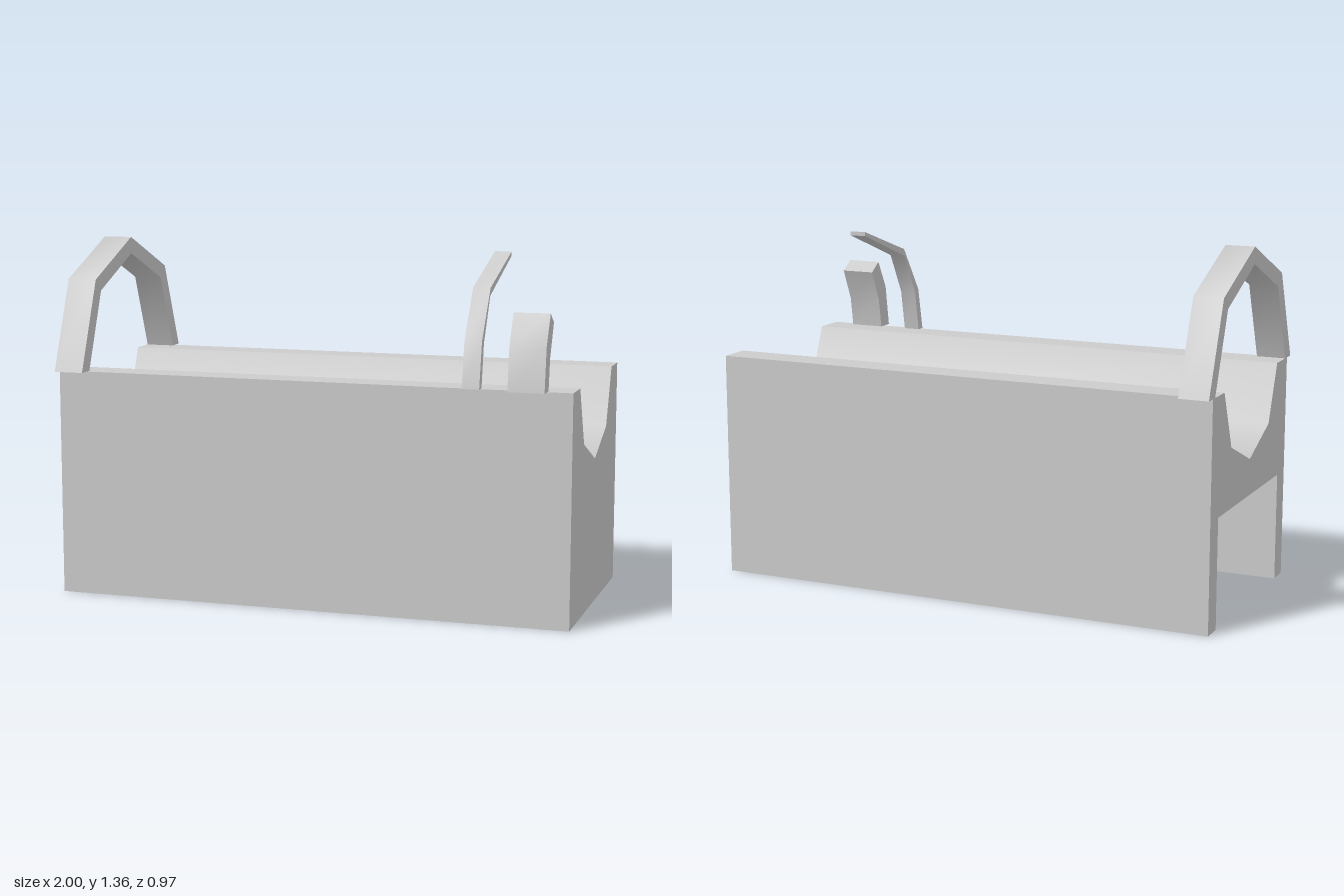
import * as THREE from 'three';
import { toCreasedNormals } from 'three/addons/utils/BufferGeometryUtils.js';

const material = new THREE.MeshStandardMaterial({ color: 0xcccccc });

// Extrudes a [z, y] outline along x from x0 to x1, smoothing only the shallow bends
function section(name, outline, x0, x1) {
  const shape = new THREE.Shape(outline.map(([z, y]) => new THREE.Vector2(-z, y)));
  const flat = new THREE.ExtrudeGeometry(shape, { depth: x1 - x0, bevelEnabled: false });
  flat.rotateY(Math.PI / 2).translate(x0, 0, 0);
  const mesh = new THREE.Mesh(toCreasedNormals(flat, 0.9), material);
  mesh.name = name;
  return mesh;
}

// Completes a half profile that starts at +z, adding its mirror image at -z
function mirrored(half) {
  const other = half.filter(([z]) => z > 0).map(([z, y]) => [-z, y]).reverse();
  return [...half, ...other];
}

// Closed outline of a strip from its outer and inner lines
const strip = (outer, inner) => [...outer, ...inner.slice().reverse()];

export function createModel() {
  const group = new THREE.Group();
  group.name = 'troughStand';

  // Body: long trough on two side walls, hollow underneath
  const trough = mirrored([[0.314, 0.87], [0.222, 0.65], [0, 0.56]]);
  const underside = mirrored([[0.44, 0], [0.355, 0], [0.355, 0.42]]);
  // underside runs from the +z foot to the -z foot, the trough closes it back
  group.add(section('body', [...underside, [-0.44, 0.87], ...trough.slice().reverse(), [0.44, 0.87]], -1, 1));

  // Wall closing one end of the hollow
  group.add(section('endWall', [[0.355, 0], [0.355, 0.42], [-0.355, 0.42], [-0.355, 0]], 0.91, 1));

  // Full hoop over the open end
  group.add(section('hoop', strip(
    mirrored([[0.484, 0.87], [0.343, 1.214], [0, 1.355]]),
    mirrored([[0.417, 0.87], [0.296, 1.168], [0, 1.29]]),
  ), -1, -0.886));

  // Thin arm arching to the middle of the trough
  group.add(section('curvedArm', strip(
    [[0.455, 0.87], [0.42, 1.04], [0.296, 1.223], [-0.036, 1.33]],
    [[0.42, 0.87], [0.39, 1.03], [0.3, 1.194], [-0.036, 1.314]],
  ), 0.595, 0.66));

  // Short wide clip beside the arm
  group.add(section('clip', strip(
    [[0.484, 0.87], [0.459, 1.033], [0.398, 1.147]],
    [[0.416, 0.87], [0.397, 0.986], [0.34, 1.11]],
  ), 0.77, 0.905));

  return group;
}
